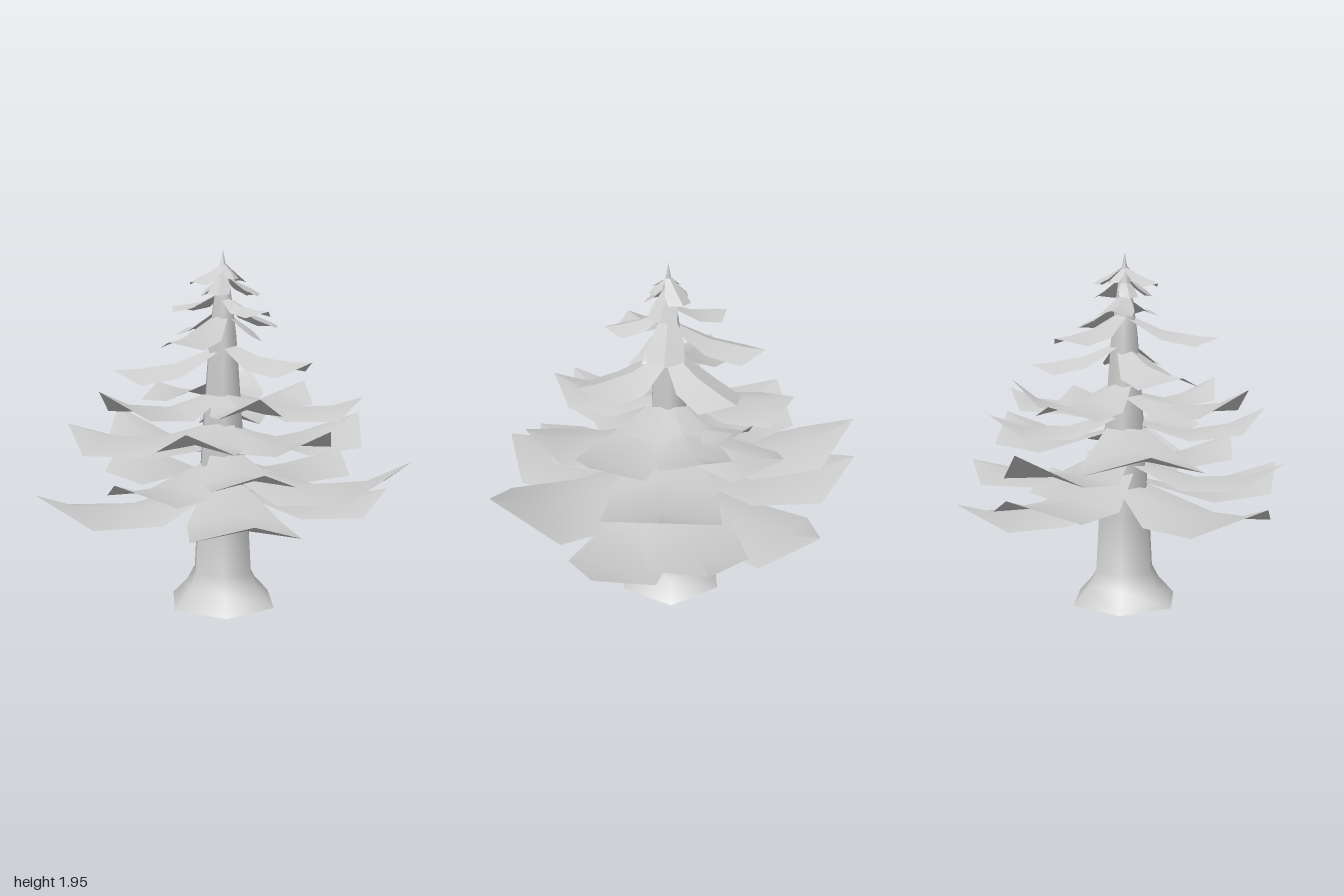
import * as THREE from 'three';
import { toCreasedNormals } from 'three/addons/utils/BufferGeometryUtils.js';

const AXIS_X = 0.01, AXIS_Z = 0.05;

// Leaf-like bough: ridge along the middle, drooping sides, upturned tip.
// tip = [x, y, z], rise = tip height above the root, width = half width / length
function boughGeometry(droop, [tx, ty, tz], rise, width) {
  const dx = tx - AXIS_X, dz = tz - AXIS_Z;
  const len = Math.hypot(dx, dz);
  const ux = dx / len, uz = dz / len;
  const w = width * len;
  // [distance along, half width, height relative to tip]
  const rows = [
    [0.03, 0.32, 0.1 * len - rise],
    [0.42, 0.9, -rise * 0.75 - 0.03 * len],
    [0.78, 1.0, -rise * 0.4 - 0.04 * len],
    [1, 0.02, 0],
  ];
  const pos = [], idx = [];
  rows.forEach(([t, hw, h], r) => {
    for (const s of [-1, 0, 1]) {
      const side = s * hw * w;
      pos.push(
        AXIS_X + ux * len * t - uz * side,
        ty + h - Math.abs(side) * droop,
        AXIS_Z + uz * len * t + ux * side
      );
    }
    if (r === 0) return;
    for (let c = 0; c < 2; c++) {
      const a = (r - 1) * 3 + c, b = a + 1, d = a + 3, e = a + 4;
      idx.push(a, b, d, b, e, d);
    }
  });
  const g = new THREE.BufferGeometry();
  g.setAttribute('position', new THREE.Float32BufferAttribute(pos, 3));
  g.setIndex(idx);
  return toCreasedNormals(g, 0.6);
}

export function createModel() {
  const tree = new THREE.Group();
  tree.name = 'coniferTree';
  const material = new THREE.MeshStandardMaterial({ color: 0xcccccc, side: THREE.DoubleSide });

  // Six-sided trunk, open below, with a flared foot and a thin spike on top
  const profile = [
    [0.315, 0], [0.22, 0.1], [0.175, 0.18], [0.155, 0.52],
    [0.12, 1.0], [0.08, 1.5], [0.04, 1.78], [0.018, 1.86], [0, 1.95],
  ].map(([r, y]) => new THREE.Vector2(r, y));
  const trunk = new THREE.Mesh(toCreasedNormals(new THREE.LatheGeometry(profile, 6), 1.1), material);
  trunk.name = 'trunk';
  trunk.rotation.y = Math.PI / 6;
  trunk.position.set(AXIS_X, 0, AXIS_Z);
  tree.add(trunk);

  // Tiers from the lowest to the crown: side droop, then [tip, rise, width]
  const tiers = {
    lowestBough: [0.18, [
      [[-1.0, 0.69, -0.18], 0.1, 0.29],
      [[1.0, 0.73, -0.12], 0.01, 0.26],
      [[-0.45, 0.7, 0.99], 0.09, 0.26],
      [[0.86, 0.61, 0.45], 0.04, 0.27],
      [[0.55, 0.62, -0.73], 0.05, 0.29],
      [[-0.04, 0.76, -1.0], 0.09, 0.26],
    ]],
    lowerBough: [0.2, [
      [[0.54, 0.89, 0.97], 0.2, 0.29],
      [[-0.82, 0.82, 0.35], 0.09, 0.26],
      [[-0.08, 0.98, -0.98], 0.2, 0.23],
      [[-0.25, 0.88, 0.79], 0.08, 0.28],
    ]],
    middleBough: [0.22, [
      [[0.93, 1.0, 0.12], 0.1, 0.33],
      [[-0.6, 0.97, -0.61], 0.04, 0.34],
      [[0.13, 1.06, 0.82], 0.12, 0.26],
      [[-0.57, 1.08, 0.6], 0.12, 0.25],
    ]],
    upperBough: [0.28, [
      [[0.7, 1.18, -0.11], 0.06, 0.27],
      [[-0.75, 1.24, 0.07], 0.12, 0.28],
      [[-0.2, 1.23, 0.68], 0.1, 0.25],
      [[0.67, 1.15, 0.45], 0.04, 0.27],
      [[0, 1.17, -0.63], -0.02, 0.3],
      [[0.5, 1.08, -0.52], 0.07, 0.26],
      [[0.47, 1.26, -0.36], 0.2, 0.2],
    ]],
    highBough: [0.38, [
      [[-0.52, 1.31, -0.2], -0.07, 0.31],
      [[0.25, 1.37, 0.52], -0.04, 0.33],
      [[0.4, 1.34, -0.28], -0.08, 0.3],
      [[-0.46, 1.49, 0.27], -0.07, 0.26],
      [[0.1, 1.5, -0.45], -0.08, 0.26],
      [[0.36, 1.53, 0.08], -0.12, 0.28],
      [[0.07, 1.63, 0.38], -0.04, 0.28],
      [[-0.12, 1.64, -0.26], -0.05, 0.28],
      [[0.17, 1.46, 0.19], -0.15, 0.3],
    ]],
    crownBough: [0.5, [
      [[0.22, 1.71, 0.1], -0.09, 0.36],
      [[-0.2, 1.78, 0.06], -0.07, 0.36],
      [[0.17, 1.78, -0.02], -0.08, 0.36],
      [[-0.1, 1.71, 0.16], -0.1, 0.38],
      [[0.04, 1.78, -0.05], -0.08, 0.45],
      [[0.02, 1.79, 0.15], -0.08, 0.45],
      [[-0.08, 1.7, -0.03], -0.1, 0.42],
    ]],
  };
  for (const [name, [droop, boughs]] of Object.entries(tiers)) {
    const tier = new THREE.Group();
    tier.name = name + 'Tier';
    boughs.forEach((b, i) => {
      const mesh = new THREE.Mesh(boughGeometry(droop, ...b), material);
      mesh.name = name + (i + 1);
      tier.add(mesh);
    });
    tree.add(tier);
  }
  return tree;
}
